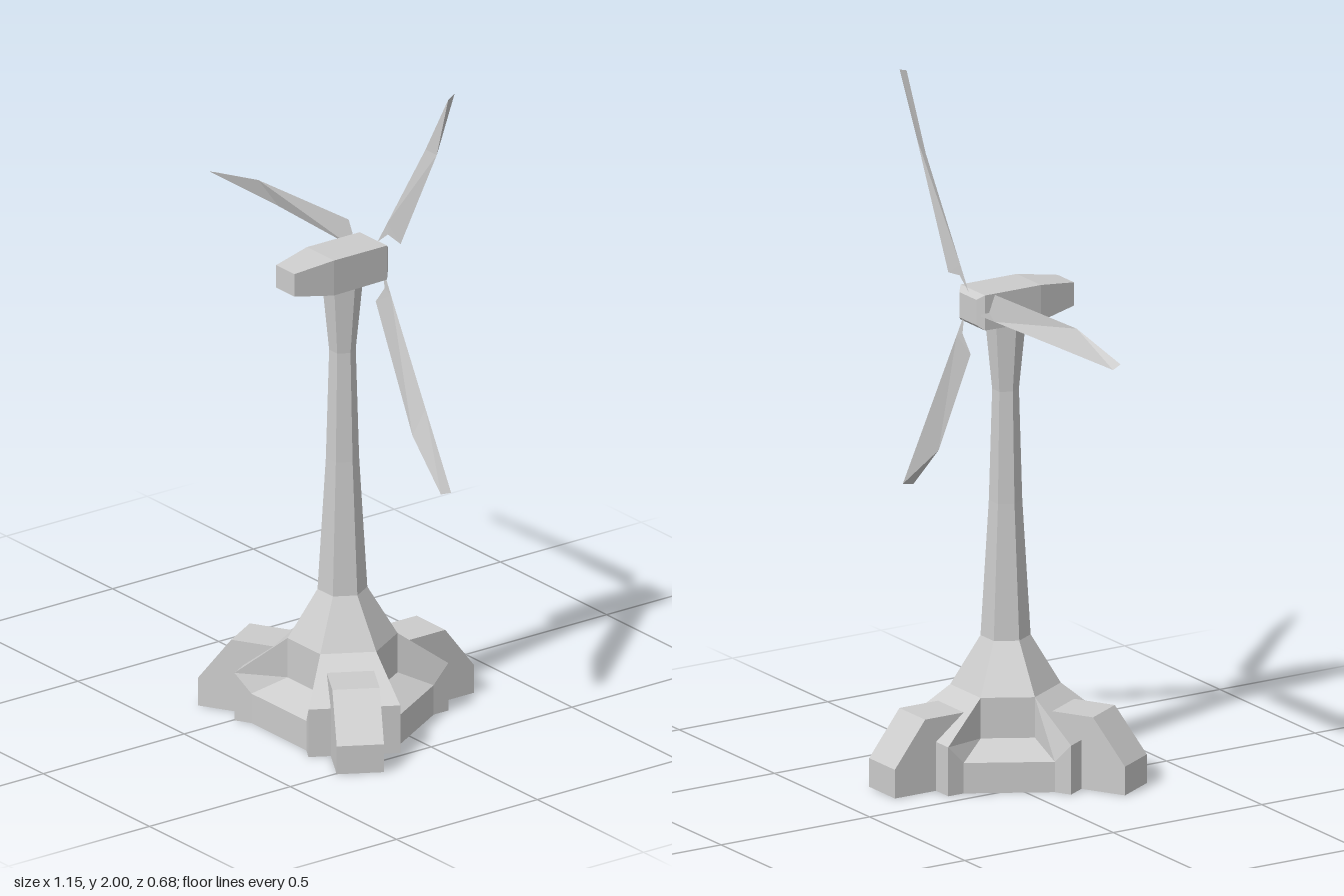
import * as THREE from 'three';

const CX = 0.178, CZ = 0.072; // tower axis
const HUB_Y = 1.39;

// Point on the three-fold base: corner k, sideways t, outward d, height y
function at(k, t, d, y) {
  const a = Math.PI / 3 + (k * Math.PI * 2) / 3;
  return [CX + d * Math.sin(a) + t * Math.cos(a), y, CZ + d * Math.cos(a) - t * Math.sin(a)];
}

// Flat-shaded mesh from convex faces (corners counter-clockwise seen from outside)
function facesMesh(name, faces) {
  const pos = [];
  for (const f of faces) {
    for (let i = 1; i < f.length - 1; i++) pos.push(...f[0], ...f[i], ...f[i + 1]);
  }
  const g = new THREE.BufferGeometry();
  g.setAttribute('position', new THREE.Float32BufferAttribute(pos, 3));
  g.computeVertexNormals();
  const m = new THREE.Mesh(g, new THREE.MeshStandardMaterial({
    color: 0xcccccc, flatShading: true, side: THREE.DoubleSide,
  }));
  m.name = name;
  return m;
}

// Base with three corner buttresses and a sloped sill on each long wall
function base() {
  const W = 0.131, D = 0.277, WALL = 0.225, TW = 0.08, TD = 0.135;
  const faces = [];
  for (let k = 0; k < 3; k++) {
    const p = (t, d, y) => at(k, t, d, y);
    const n = (t, d, y) => at(k + 1, t, d, y);
    // buttress front and sloping top
    faces.push([p(-W, D, 0), p(W, D, 0), p(W, D, 0.145), p(-W, D, 0.145)]);
    faces.push([p(-W, D, 0.145), p(W, D, 0.145), p(TW, TD, 0.255), p(-TW, TD, 0.255)]);
    // buttress cheeks, mirrored
    for (const s of [1, -1]) {
      const cheeks = [
        [p(s * W, D, 0), p(s * W, WALL, 0), p(s * W, WALL, 0.09), p(s * W, D, 0.145)],
        [p(s * W, D, 0.145), p(s * W, WALL, 0.09), p(s * TW, TD, 0.135), p(s * TW, TD, 0.255)],
      ];
      faces.push(...cheeks.map((c) => (s > 0 ? c : c.reverse())));
    }
    // long wall, sill and recessed panel
    const steps = [[W, WALL, 0], [W, WALL, 0.09], [TW, TD, 0.135], [TW, TD, 0.255]];
    for (let i = 0; i < 3; i++) {
      const [t0, d0, y0] = steps[i], [t1, d1, y1] = steps[i + 1];
      faces.push([p(t0, d0, y0), n(-t0, d0, y0), n(-t1, d1, y1), p(t1, d1, y1)]);
    }
  }
  return facesMesh('base', faces);
}

// Six-sided tower, narrowing and then flaring under the nacelle
function tower() {
  const rings = [ // half width, distance, height
    [0.08, 0.135, 0.255], [0.035, 0.062, 0.4], [0.024, 0.041, 0.8],
    [0.019, 0.033, 1.13], [0.03, 0.051, 1.345],
  ];
  const faces = [];
  for (let i = 0; i < rings.length - 1; i++) {
    const [t0, d0, y0] = rings[i], [t1, d1, y1] = rings[i + 1];
    for (let k = 0; k < 3; k++) {
      faces.push([at(k, -t0, d0, y0), at(k, t0, d0, y0), at(k, t1, d1, y1), at(k, -t1, d1, y1)]);
      faces.push([at(k, t0, d0, y0), at(k + 1, -t0, d0, y0), at(k + 1, -t1, d1, y1), at(k, t1, d1, y1)]);
    }
  }
  return facesMesh('tower', faces);
}

// Foot projecting from one buttress, open underneath
function foot(k) {
  const H = 0.0675;
  const outline = [[0.277, 0], [0.416, 0], [0.416, 0.085], [0.314, 0.217], [0.182, 0.217], [0.277, 0.145]];
  const side = (s) => outline.map(([d, y]) => at(k, s * H, d, y));
  const left = side(-1), right = side(1);
  const split = (q) => [[q[0], q[1], q[2], q[5]], [q[5], q[2], q[3], q[4]]];
  const faces = [
    ...split(left),
    ...split(right).map((f) => f.reverse()),
  ];
  for (let i = 1; i < 4; i++) faces.push([left[i], right[i], right[i + 1], left[i + 1]]);
  return facesMesh('foot', faces);
}

// Nacelle lofted through rectangular sections along z
function nacelle() {
  const sections = [ // z, half width, bottom, top
    [-0.055, 0.045, 1.35, 1.425], [-0.038, 0.064, 1.336, 1.44],
    [0.15, 0.064, 1.333, 1.44], [0.275, 0.043, 1.353, 1.422],
  ].map(([z, w, b, t]) => [[CX - w, b, z], [CX + w, b, z], [CX + w, t, z], [CX - w, t, z]]);
  const faces = [[...sections[0]].reverse(), sections[3]];
  for (let i = 0; i < 3; i++) {
    for (let j = 0; j < 4; j++) {
      const a = sections[i], b = sections[i + 1], n = (j + 1) % 4;
      faces.push([a[j], b[j], b[n], a[n]].reverse());
    }
  }
  return facesMesh('nacelle', faces);
}

// Thin twisted blade pointing along the given angle
function blade(degrees, length) {
  const a = THREE.MathUtils.degToRad(degrees), c = Math.cos(a), s = Math.sin(a);
  const p = (r, v, z) => [CX + r * c + v * s, HUB_Y + r * s - v * c, z];
  const root = p(0.04, -0.014, -0.046), neck = p(0.098, 0.008, -0.046);
  const shoulder = p(0.124, 0.067, -0.043), trailing = p(0.52, 0.062, -0.021);
  const tipBack = p(length - 0.004, 0.013, -0.02), tip = p(length, 0.002, -0.048);
  const leading = p(0.46, -0.004, -0.047), inner = p(0.125, -0.012, -0.046);
  return facesMesh('blade', [
    [root, inner, neck],
    [neck, inner, shoulder],
    [inner, leading, trailing, shoulder],
    [leading, tipBack, trailing],
    [leading, tip, tipBack],
    [leading, tip, trailing],
    [tip, tipBack, trailing],
  ]);
}

export function createModel() {
  const model = new THREE.Group();
  model.name = 'windTurbine';
  model.add(base(), tower(), nacelle());
  for (let k = 0; k < 3; k++) model.add(foot(k));
  const rotor = new THREE.Group();
  rotor.name = 'rotor';
  rotor.add(blade(179.5, 0.752), blade(59, 0.713), blade(-60, 0.709));
  model.add(rotor);
  return model;
}
